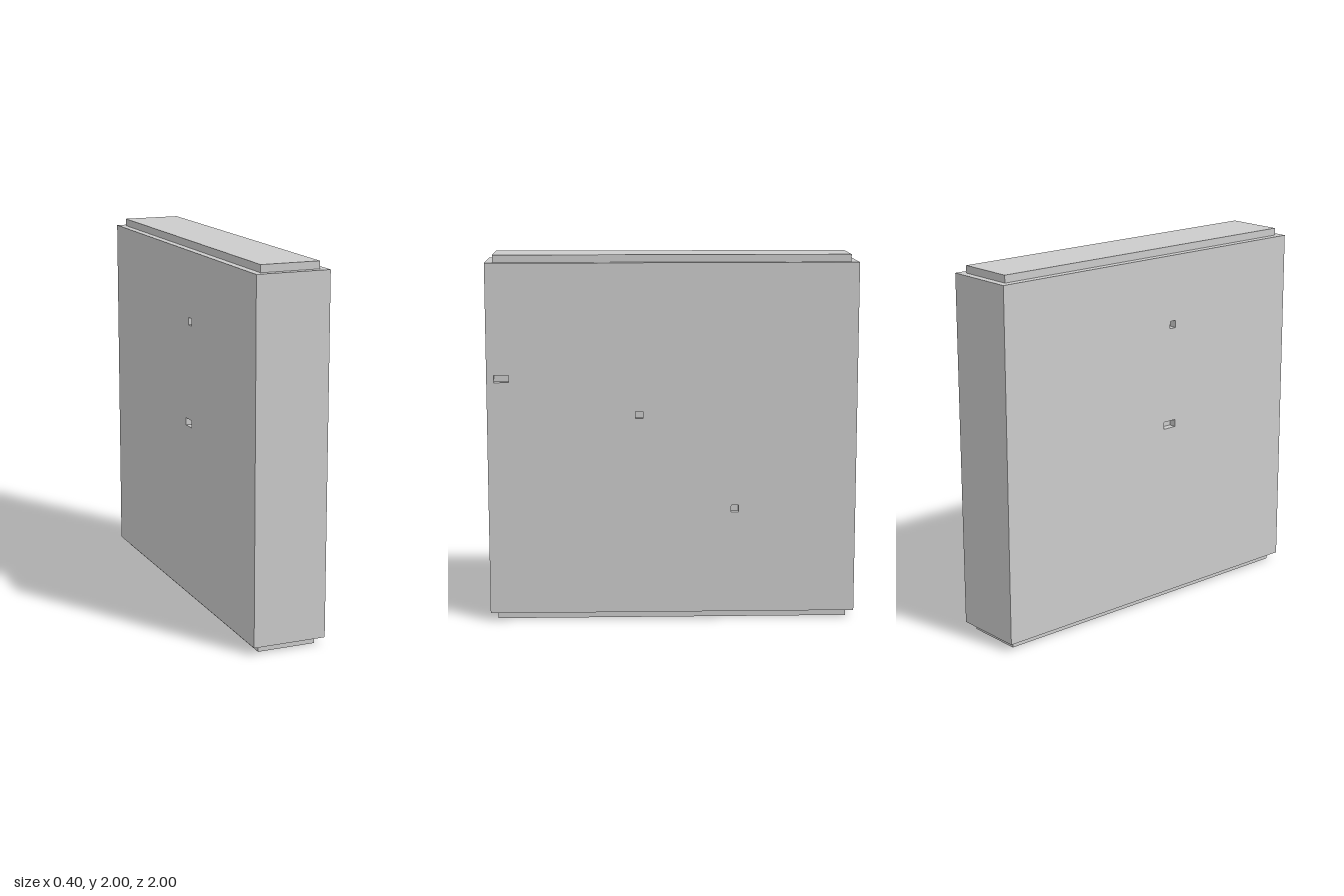
import * as THREE from 'three';

const U = 0.04; // module size: every edge sits on this grid
const material = new THREE.MeshStandardMaterial({ color: 0xcccccc, flatShading: true });

function addMesh(group, name, geometry) {
  const mesh = new THREE.Mesh(geometry, material);
  mesh.name = name;
  group.add(mesh);
  return mesh;
}

// Rectangle outline in the (-z, y) plane
function rectangle(path, z0, z1, y0, y1) {
  path.moveTo(-z1, y0);
  path.lineTo(-z0, y0);
  path.lineTo(-z0, y1);
  path.lineTo(-z1, y1);
  path.closePath();
  return path;
}

// Broad side skin, one module thick, pierced where the notches are
function sideSkin(x, notches) {
  const shape = rectangle(new THREE.Shape(), -1, 1, U, 2 - U);
  for (const [z0, z1, y0] of notches) {
    shape.holes.push(rectangle(new THREE.Path(), z0, z1, y0, y0 + U));
  }
  const geometry = new THREE.ExtrudeGeometry(shape, { depth: U, bevelEnabled: false });
  return geometry.rotateY(Math.PI / 2).translate(x, 0, 0);
}

export function createModel() {
  const group = new THREE.Group();
  group.name = 'wallBlock';

  // Core: its ends stand out as the stepped top and bottom, its sides floor the notches
  addMesh(group, 'core', new THREE.BoxGeometry(0.32, 2, 1.92).translate(0, 1, 0));

  // Broad sides, notches as [z start, z end, y bottom]
  addMesh(group, 'leftSide', sideSkin(0.16, [
    [0.88, 0.96, 1.32],
    [0.16, 0.2, 1.12],
    [-0.36, -0.32, 0.6],
  ]));
  addMesh(group, 'rightSide', sideSkin(-0.2, [
    [0.12, 0.16, 1.56],
    [0.08, 0.16, 1.0],
  ]));

  // Narrow front and back plates between the sides
  for (const [name, s] of [['frontPlate', 1], ['backPlate', -1]]) {
    addMesh(group, name, new THREE.BoxGeometry(0.32, 1.92, U).translate(0, 1, s * 0.98));
  }
  return group;
}
